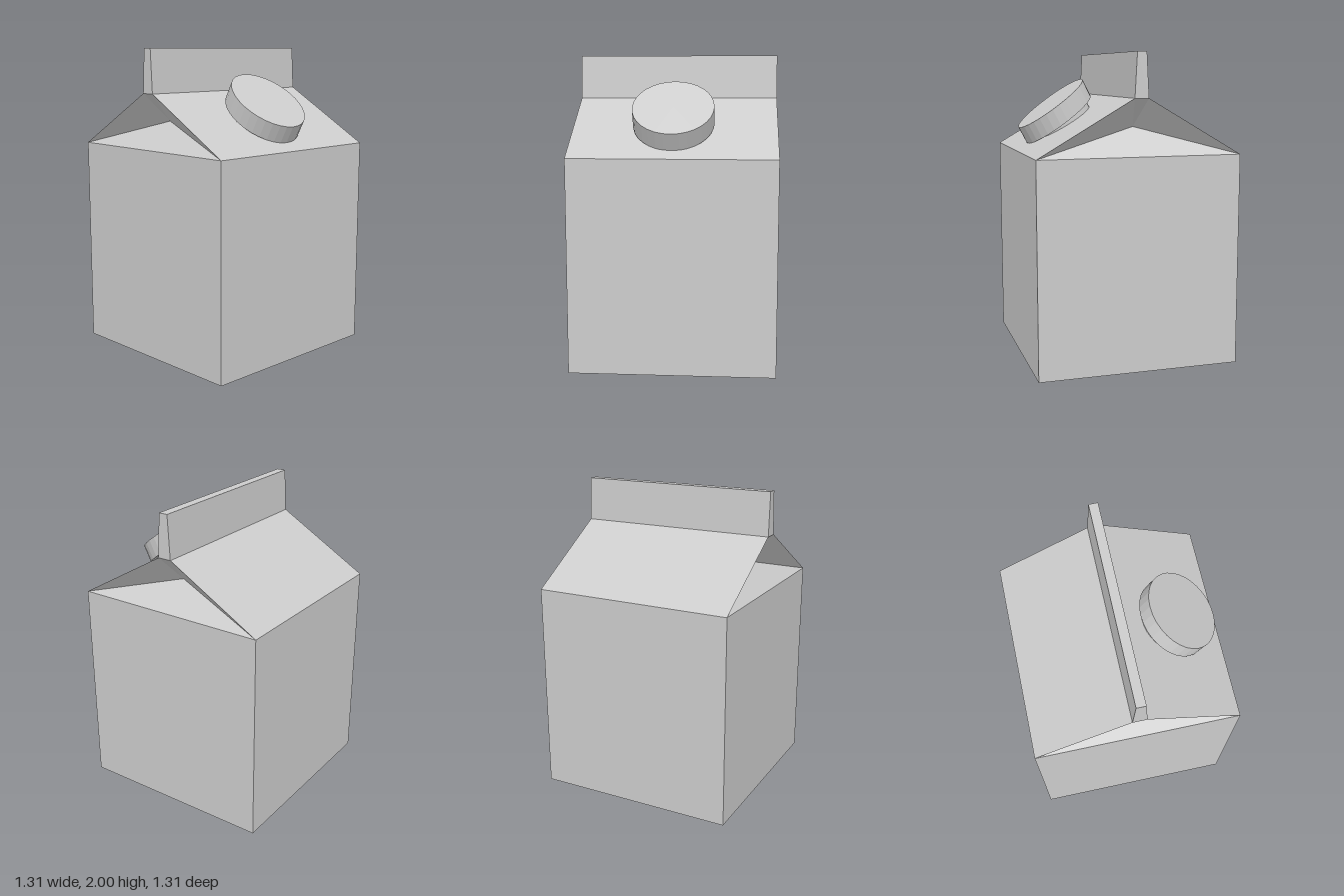
import * as THREE from 'three';

const HALF = 0.655, WALL = 1.365, RIDGE = 1.72, TOP = 2, FIN = 0.045, FIN_TOP = 0.03;

const material = () => new THREE.MeshStandardMaterial({ color: 0xcccccc, flatShading: true });

function add(parent, name, geometry) {
  const mesh = new THREE.Mesh(geometry, material());
  mesh.name = name;
  parent.add(mesh);
  return mesh;
}

// Flat-faced geometry from convex polygons, corners counter-clockwise from outside
function facets(polygons) {
  const points = [];
  for (const p of polygons) {
    for (let i = 1; i < p.length - 1; i++) points.push(...p[0], ...p[i], ...p[i + 1]);
  }
  const geometry = new THREE.BufferGeometry();
  geometry.setAttribute('position', new THREE.Float32BufferAttribute(points, 3));
  geometry.computeVertexNormals();
  return geometry;
}

export function createModel() {
  const carton = new THREE.Group();
  carton.name = 'carton';

  // Square body
  add(carton, 'body', new THREE.BoxGeometry(2 * HALF, WALL, 2 * HALF).translate(0, WALL / 2, 0));

  // Roof slopes and tucked-in gables, one of each turned half way round
  const left = [-HALF, WALL, HALF], right = [HALF, WALL, HALF], rightBack = [HALF, WALL, -HALF];
  const ridgeL = [-FIN, RIDGE, HALF], ridgeR = [FIN, RIDGE, HALF], ridgeBack = [FIN, RIDGE, -HALF];
  const tuck = [0, 1.54, 0.475];
  const slope = facets([[right, rightBack, ridgeBack, ridgeR]]);
  const gable = facets([
    [left, right, tuck], [left, tuck, ridgeL], [right, ridgeR, tuck], [tuck, ridgeR, ridgeL],
  ]);
  for (const [i, side] of ['First', 'Second'].entries()) {
    add(carton, 'roofSlope' + side, slope).rotation.y = i * Math.PI;
    add(carton, 'gableFold' + side, gable).rotation.y = i * Math.PI;
  }

  // Tapered sealing fin along the ridge
  const finShape = new THREE.Shape([
    new THREE.Vector2(-FIN, RIDGE), new THREE.Vector2(FIN, RIDGE),
    new THREE.Vector2(FIN_TOP, TOP), new THREE.Vector2(-FIN_TOP, TOP),
  ]);
  add(carton, 'topFin', new THREE.ExtrudeGeometry(finShape, { depth: 2 * HALF, bevelEnabled: false })
    .translate(0, 0, -HALF));

  // Slightly skewed screw cap on a narrower neck, lying on the left slope
  const across = new THREE.Vector3(0.2125, -0.1575, 0);
  const axis = new THREE.Vector3(0.055, 0.105, 0);
  const depth = new THREE.Vector3(0, 0, 0.26);
  const disc = (radius, x, y) => new THREE.CylinderGeometry(radius, radius, 1, 32).applyMatrix4(
    new THREE.Matrix4().makeBasis(across, axis, depth).setPosition(x, y, 0.006));
  add(carton, 'cap', disc(1, 0.39, 1.62));
  add(carton, 'neck', disc(0.84, 0.335, 1.515));

  return carton;
}
